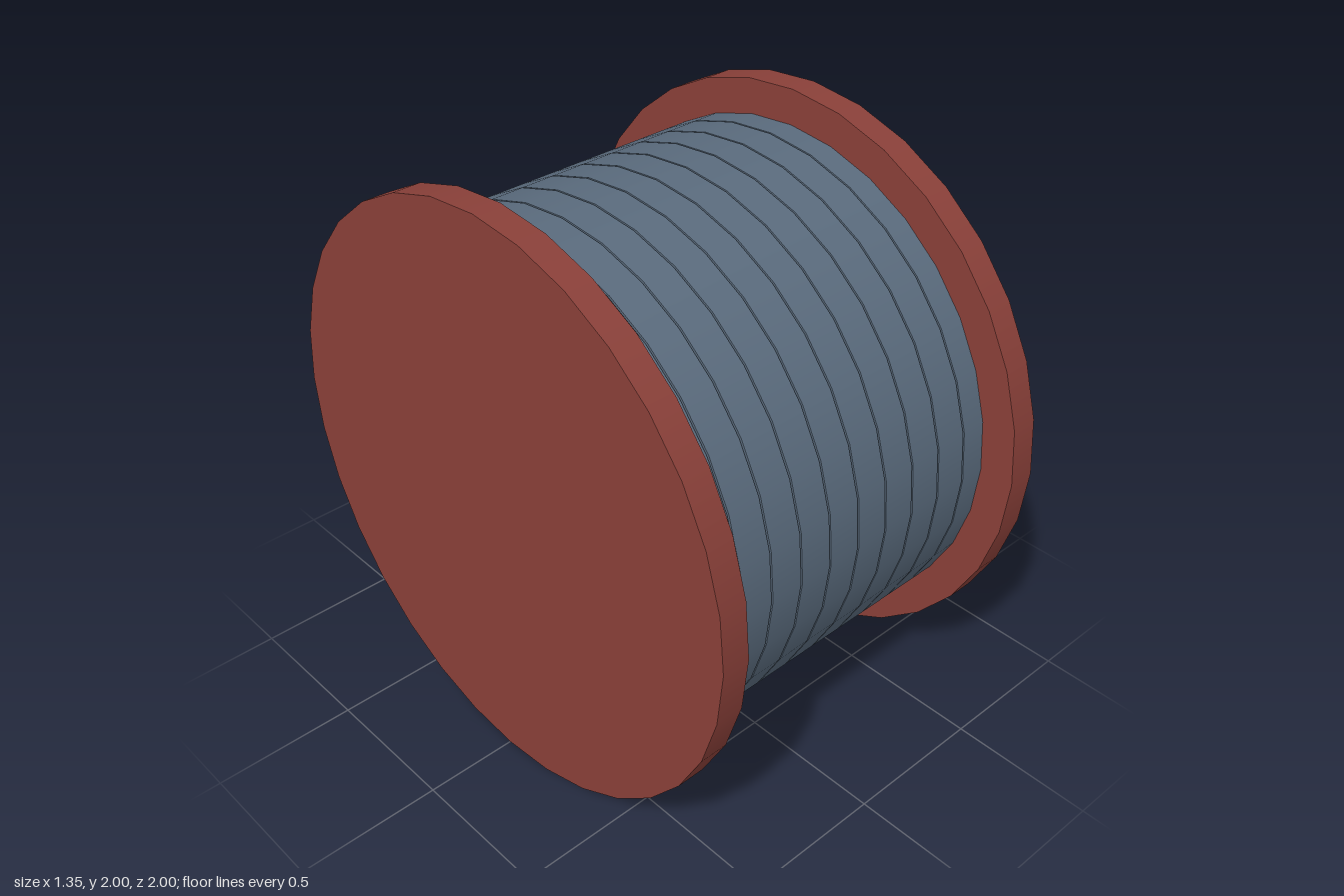
import * as THREE from 'three';

export function createModel() {
  const model = new THREE.Group();
  model.name = 'cableDrum';
  const flangeRed = new THREE.MeshStandardMaterial({ name: 'flangeRed', color: 0x8a4039 });
  const cableBlue = new THREE.MeshStandardMaterial({ name: 'cableBlue', color: 0x5a6b7d });

  // Solid disc lying along the x axis
  function disc(name, radius, width, x, material) {
    const geometry = new THREE.CylinderGeometry(radius, radius, width, 32);
    geometry.rotateZ(Math.PI / 2);
    const mesh = new THREE.Mesh(geometry, material);
    mesh.name = name;
    mesh.position.set(x, 1, 0);
    model.add(mesh);
  }

  // End flanges
  disc('leftFlange', 1, 0.097, 0.628, flangeRed);
  disc('rightFlange', 1, 0.097, -0.628, flangeRed);

  // Ten wound layers with hairline gaps; the outer two run into the flanges
  const pitch = 0.1215;
  for (let i = 0; i < 10; i++) {
    disc(`winding${i + 1}`, 0.88, pitch - 0.006, (i - 4.5) * pitch, cableBlue);
  }
  return model;
}
